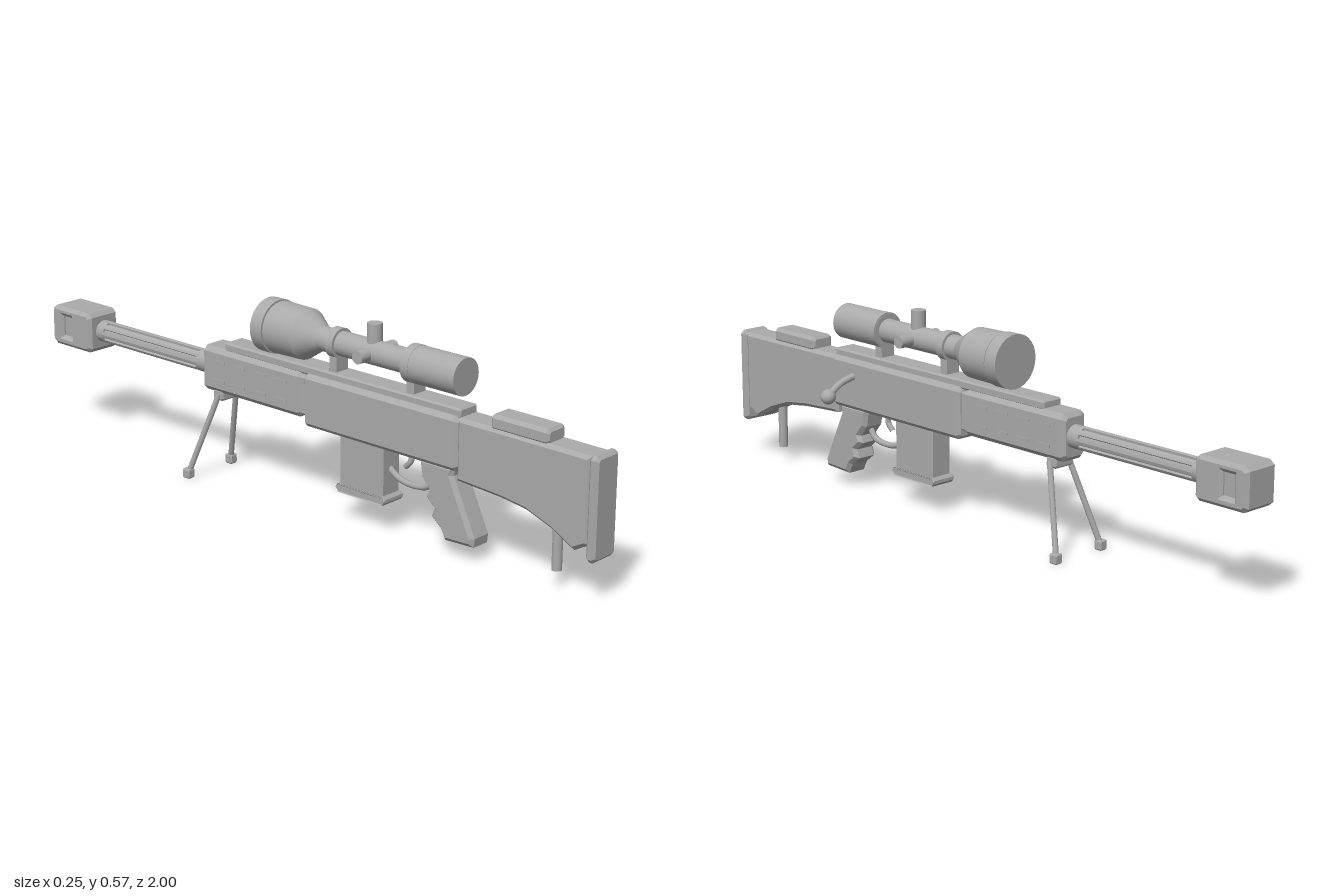
import * as THREE from 'three';

const steel = new THREE.MeshStandardMaterial({ color: 0xaaaaaa });
steel.name = 'grey steel';

export function createModel() {
  const root = new THREE.Group();
  root.name = 'rifle';
  const gun = new THREE.Group();
  gun.name = 'rifleBody';
  gun.position.x = -0.028; // the bolt handle sticks out to the left
  root.add(gun);

  const add = (name, geometry) => {
    const mesh = new THREE.Mesh(geometry, steel);
    mesh.name = name;
    gun.add(mesh);
    return mesh;
  };

  const polygon = (pts) => new THREE.Shape(pts.map(([a, b]) => new THREE.Vector2(a, b)));

  // Box between y0..y1 and z0..z1 with every edge chamfered by c
  const block = (name, halfW, y0, y1, z0, z1, c, x = 0) => {
    const w = halfW - c, h = (y1 - y0) / 2 - c, k = c * 0.6;
    const shape = polygon([[-w + k, -h], [w - k, -h], [w, -h + k], [w, h - k],
      [w - k, h], [-w + k, h], [-w, h - k], [-w, -h + k]]);
    const g = new THREE.ExtrudeGeometry(shape, {
      depth: z1 - z0 - 2 * c, bevelThickness: c, bevelSize: c, bevelSegments: 1,
    });
    g.translate(x, (y0 + y1) / 2, z0 + c);
    return add(name, g);
  };

  // Side outline of (z, y) points extruded across the width
  const profile = (name, shape, halfW, c) => {
    const g = new THREE.ExtrudeGeometry(shape, {
      depth: 2 * (halfW - c), bevelThickness: c, bevelSize: c, bevelOffset: -c,
      bevelSegments: 1, curveSegments: 8,
    });
    g.translate(0, 0, -(halfW - c));
    g.rotateY(-Math.PI / 2);
    return add(name, g);
  };

  // Round section along z, radius r0 at z0 and r1 at z1
  const round = (name, y, z0, z1, r0, r1 = r0) => {
    const g = new THREE.CylinderGeometry(r1, r0, z1 - z0, 28);
    g.rotateX(Math.PI / 2);
    g.translate(0, y, (z0 + z1) / 2);
    return add(name, g);
  };

  // Rod between two points
  const rod = (name, a, b, r, sides = 12) => {
    const p = new THREE.Vector3(...a), q = new THREE.Vector3(...b);
    const mesh = add(name, new THREE.CylinderGeometry(r, r, p.distanceTo(q), sides));
    mesh.position.copy(p).lerp(q, 0.5);
    mesh.quaternion.setFromUnitVectors(new THREE.Vector3(0, 1, 0), q.sub(p).normalize());
    return mesh;
  };

  // Stock
  block('buttPad', 0.047, 0.113, 0.392, 0.972, 1.0, 0.009);
  profile('stock', polygon([[0.975, 0.387], [0.975, 0.155], [0.93, 0.13], [0.86, 0.168],
    [0.78, 0.197], [0.7, 0.208], [0.555, 0.217], [0.555, 0.389]]), 0.041, 0.01);
  block('cheekRest', 0.037, 0.38, 0.423, 0.66, 0.843, 0.008);
  rod('rearMonopod', [0, 0.047, 0.856], [0, 0.18, 0.856], 0.0135, 16);

  // Receiver, handguard and top rail
  block('receiver', 0.05, 0.243, 0.392, 0.025, 0.562, 0.01);
  block('receiverJoint', 0.038, 0.27, 0.38, 0.0, 0.04, 0.004);
  block('handguard', 0.045, 0.26, 0.391, -0.37, 0.012, 0.012);
  block('topRail', 0.034, 0.385, 0.411, -0.287, 0.562, 0.004);
  for (const side of [-1, 1]) {
    for (const y of [0.298, 0.353]) {
      for (let i = 0; i < 4; i++) {
        const slot = add('handguardSlot', new THREE.BoxGeometry(0.004, 0.008, 0.045));
        slot.position.set(side * 0.045, y, -0.06 - i * 0.08);
      }
    }
  }

  // Barrel with lengthwise flutes
  const barrelY = 0.327;
  round('barrelBase', barrelY, -0.41, -0.35, 0.032);
  round('barrelEnd', barrelY, -0.84, -0.8, 0.032);
  const flutes = [];
  for (let i = 0; i < 8; i++) {
    for (const [t, r] of [[-0.3, 0.032], [0, 0.033], [0.3, 0.032], [0.34, 0.026], [0.45, 0.026]]) {
      const a = (i + t) * Math.PI / 4;
      flutes.push([Math.cos(a) * r, Math.sin(a) * r]);
    }
    const a = (i + 0.66) * Math.PI / 4;
    flutes.push([Math.cos(a) * 0.026, Math.sin(a) * 0.026]);
  }
  const fluted = new THREE.ExtrudeGeometry(polygon(flutes), { depth: 0.4, bevelEnabled: false });
  fluted.translate(0, barrelY, -0.805);
  add('flutedBarrel', fluted);

  // Muzzle brake with a port on each side
  const brake = polygon([[-0.985, 0.267], [-0.842, 0.267], [-0.83, 0.279], [-0.83, 0.374],
    [-0.842, 0.386], [-0.985, 0.386], [-1.0, 0.374], [-1.0, 0.279]]);
  brake.holes.push(new THREE.Path([[-0.955, 0.297], [-0.955, 0.358], [-0.917, 0.358],
    [-0.917, 0.297]].map(([z, y]) => new THREE.Vector2(z, y))));
  profile('muzzleBrake', brake, 0.056, 0.01);
  block('muzzleBrakeCore', 0.042, 0.285, 0.37, -0.975, -0.86, 0.004);

  // Scope
  const scopeY = 0.487;
  round('eyepiece', scopeY, 0.395, 0.55, 0.051);
  round('eyepieceCollar', scopeY, 0.37, 0.395, 0.048, 0.051);
  round('scopeTube', scopeY, 0.04, 0.38, 0.034);
  round('objectiveCone', scopeY, 0.0, 0.058, 0.071, 0.034);
  round('objectiveBell', scopeY, -0.1, 0.0, 0.073, 0.071);
  round('objectiveGroove', scopeY, -0.106, -0.098, 0.07);
  round('objectiveRim', scopeY, -0.146, -0.105, 0.076);
  for (const z of [0.384, 0.112]) {
    round('scopeRing', scopeY, z - 0.013, z + 0.013, z > 0.2 ? 0.052 : 0.042);
    block('scopeMount', 0.025, 0.405, 0.46, z - 0.013, z + 0.013, 0.002);
  }
  rod('topTurret', [0, scopeY, 0.24], [0, 0.568, 0.24], 0.021, 20);
  rod('sideTurrets', [-0.069, scopeY, 0.24], [0.076, scopeY, 0.24], 0.018, 20);

  // Magazine
  block('magazine', 0.037, 0.095, 0.25, 0.148, 0.302, 0.006);
  block('magazineBase', 0.048, 0.082, 0.107, 0.138, 0.312, 0.008);

  // Pistol grip with finger notches
  profile('pistolGrip', polygon([[0.545, 0.25], [0.54, 0.225], [0.613, 0.07], [0.61, 0.045],
    [0.515, 0.041], [0.5, 0.07], [0.468, 0.095], [0.478, 0.12], [0.45, 0.145],
    [0.46, 0.165], [0.435, 0.195], [0.425, 0.25]]), 0.038, 0.011);

  // Trigger and guard
  const path = (pts) => new THREE.CatmullRomCurve3(pts.map((p) => new THREE.Vector3(...p)));
  add('triggerGuard', new THREE.TubeGeometry(path([[0, 0.185, 0.45], [0, 0.16, 0.43],
    [0, 0.15, 0.38], [0, 0.158, 0.33], [0, 0.18, 0.295]]), 20, 0.009, 8));
  add('trigger', new THREE.TubeGeometry(path([[0, 0.25, 0.365], [0, 0.218, 0.372],
    [0, 0.195, 0.352]]), 10, 0.008, 8));

  // Bolt handle
  add('boltHandle', new THREE.TubeGeometry(path([[0.035, 0.345, 0.466], [0.065, 0.34, 0.468],
    [0.095, 0.328, 0.473], [0.128, 0.297, 0.482]]), 16, 0.01, 10));
  add('boltKnob', new THREE.SphereGeometry(0.022, 20, 14)).position.set(0.13, 0.295, 0.482);

  // Bipod
  block('bipodMount', 0.036, 0.235, 0.268, -0.335, -0.298, 0.005);
  for (const side of [-1, 1]) {
    rod('bipodLeg', [side * 0.034, 0.255, -0.312], [side * 0.084, 0.015, -0.388], 0.0085, 8);
    block('bipodFoot', 0.013, 0, 0.028, -0.401, -0.375, 0.003, side * 0.085);
  }

  return root;
}
